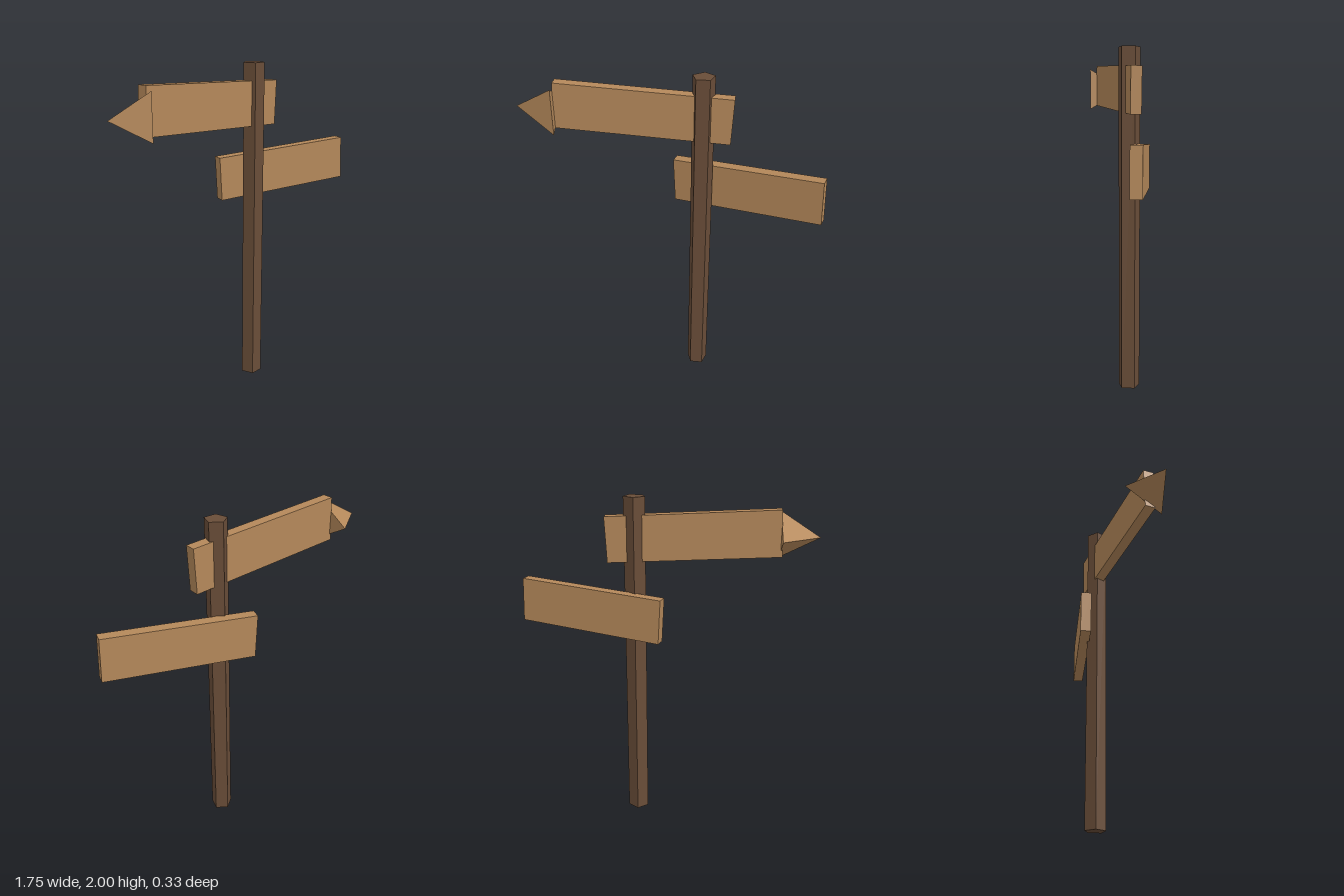
import * as THREE from 'three';

export function createModel() {
  const model = new THREE.Group();
  model.name = 'signpost';

  const postWood = new THREE.MeshStandardMaterial({ name: 'darkWood', color: 0x694d38, flatShading: true });
  const boardWood = new THREE.MeshStandardMaterial({ name: 'lightWood', color: 0xb4885a, flatShading: true });

  function add(name, geometry, material, position, rotation = [0, 0, 0]) {
    const mesh = new THREE.Mesh(geometry, material);
    mesh.name = name;
    mesh.position.set(...position);
    mesh.rotation.set(...rotation);
    model.add(mesh);
    return mesh;
  }

  // Five-sided post, one edge facing the back
  add('post', new THREE.CylinderGeometry(0.065, 0.065, 2, 5, 1, false, Math.PI), postWood, [0.167, 1, 0]);

  // Crooked boards: the upper one hangs to the right, the lower one is turned too
  const board = (length) => new THREE.BoxGeometry(length, 0.263, 0.064);
  add('upperBoard', board(0.992), boardWood, [-0.164, 1.781, -0.001], [0, 0, -0.05]);
  add('lowerBoard', board(0.89), boardWood, [0.433, 1.335, -0.002], [0, -0.297, 0.05]);

  // Three-sided arrow tip on the upper board
  add('arrowTip', new THREE.ConeGeometry(0.153, 0.22, 3, 1, false, Math.PI), boardWood,
    [-0.765, 1.782, -0.001], [0, 0, Math.PI / 2]);

  return model;
}
